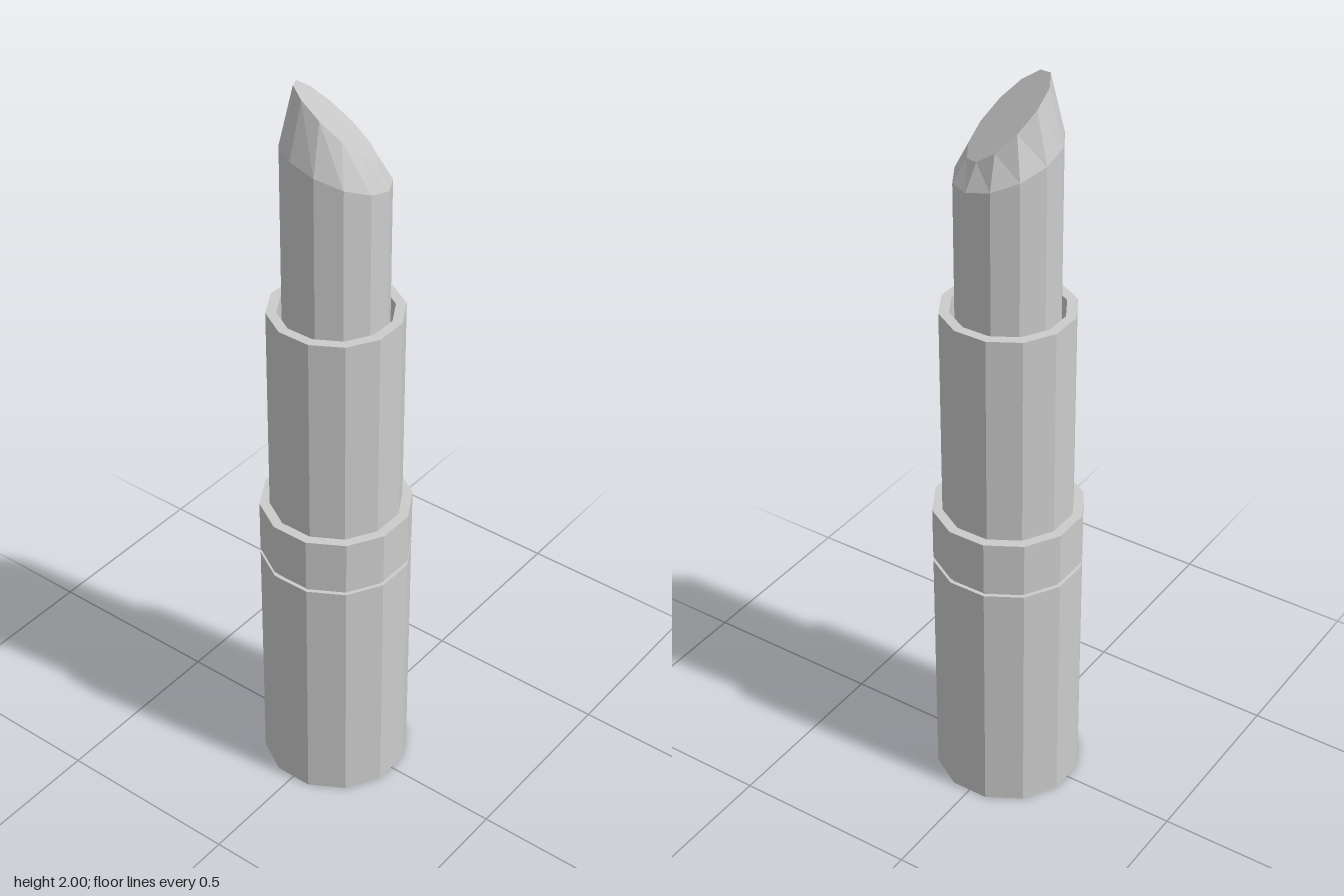
import * as THREE from 'three';

const SIDES = 12;
const FLAT = 1 / Math.cos(Math.PI / SIDES); // flat-to-centre distance -> corner radius

const material = new THREE.MeshStandardMaterial({ color: 0xcccccc, flatShading: true });

// Twelve-sided turned part; profile is [flat radius, height] from bottom to top
function turned(name, profile) {
  const points = profile.map(([r, y]) => new THREE.Vector2(r * FLAT, y));
  const geometry = new THREE.LatheGeometry(points, SIDES, Math.PI / SIDES);
  const mesh = new THREE.Mesh(geometry, material);
  mesh.name = name;
  return mesh;
}

// Tilts each profile ring towards the front left corner by its own slope
function slant(mesh, slopes) {
  const pos = mesh.geometry.attributes.position;
  for (let i = 0; i < pos.count; i++) {
    const along = (pos.getX(i) + pos.getZ(i)) * Math.SQRT1_2;
    pos.setY(i, pos.getY(i) - slopes[i % slopes.length] * along);
  }
  mesh.geometry.computeVertexNormals();
}

export function createModel() {
  const model = new THREE.Group();
  model.name = 'lipstick';

  // Solid handle at the bottom
  model.add(turned('base', [[0, 0], [0.188, 0], [0.188, 0.68], [0, 0.68]]));

  // Narrow groove between handle and collar
  model.add(turned('groove', [[0.178, 0.67], [0.178, 0.705]]));

  // Turning collar
  model.add(turned('collar', [[0, 0.693], [0.188, 0.693], [0.188, 0.838], [0, 0.838]]));

  // Hollow tube with a thin rim
  model.add(turned('innerTube', [
    [0.163, 0.83], [0.163, 1.408], [0.138, 1.408], [0.138, 0.85], [0, 0.85],
  ]));

  // Stick with a bevelled, slanted cut
  const stick = turned('stick', [
    [0, 0.86], [0.126, 0.86], [0.126, 1.8], [0.093, 1.904], [0, 1.904],
  ]);
  slant(stick, [0, 0, 0.4, 1, 1]);
  model.add(stick);

  return model;
}
